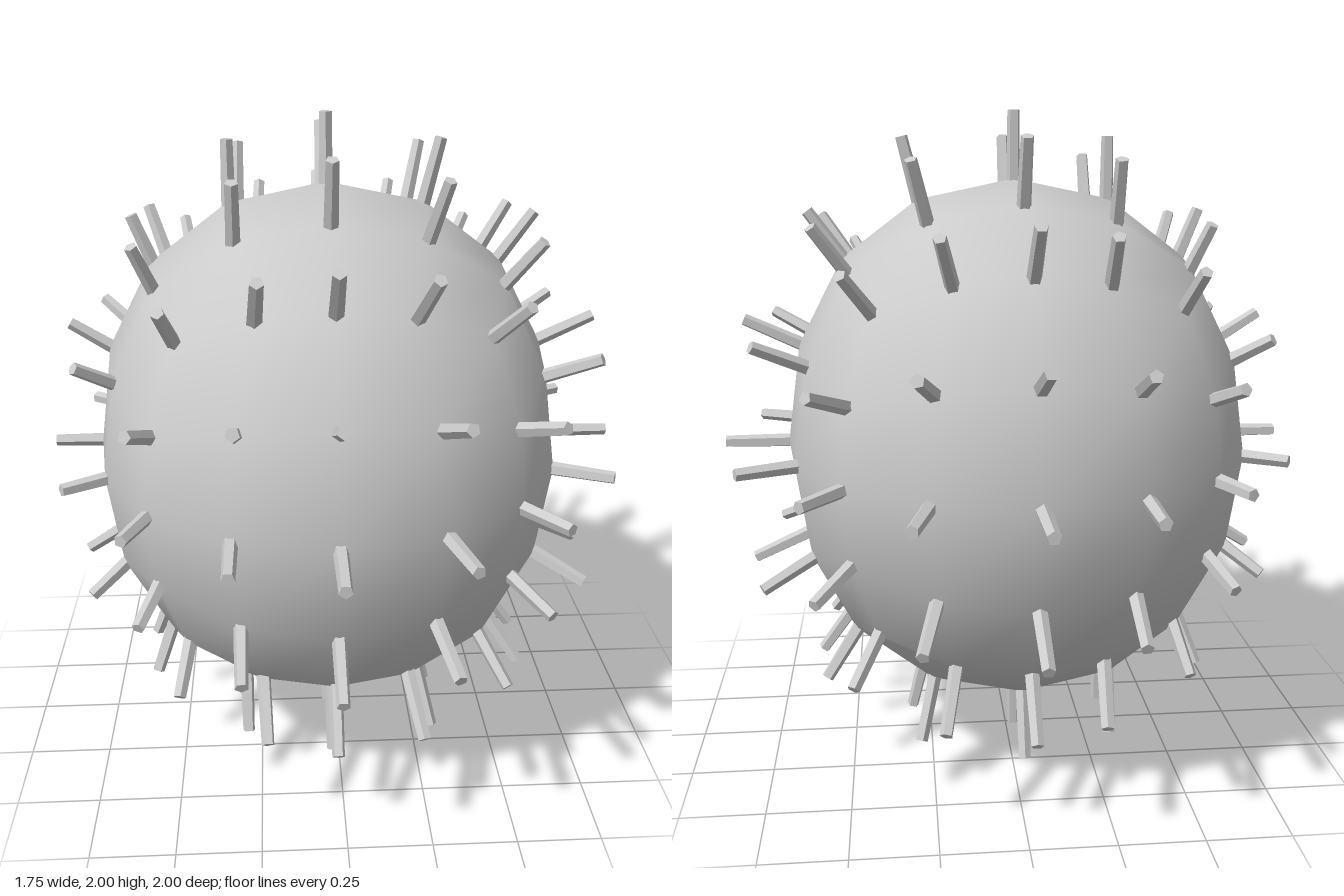
import * as THREE from 'three';
import { mergeVertices } from 'three/addons/utils/BufferGeometryUtils.js';

const CENTRE_Y = 1;
const CENTRE_X = -0.025;

// Cube grid point -> evenly spaced direction on the unit sphere
function toDirection(p) {
  const bend = (v) => Math.tan((v * Math.PI) / 4);
  return new THREE.Vector3(bend(p.x), bend(p.y), bend(p.z)).normalize();
}

// Body surface: a ball narrowed towards its sides
function surfacePoint(d) {
  const narrow = 0.97 - 0.09 * d.x * d.x;
  return new THREE.Vector3(0.8 * d.x * narrow + CENTRE_X, 0.8 * d.y + CENTRE_Y, 0.8 * d.z);
}

// Outer end of the spike that grows in direction d
function tipPoint(d) {
  const ax = Math.abs(d.x);
  const x = ax < 0.01 ? CENTRE_X : d.x * (0.773 + 0.1 * ax);
  return new THREE.Vector3(x, d.y + CENTRE_Y, d.z);
}

export function createModel() {
  const model = new THREE.Group();
  const bodyMaterial = new THREE.MeshStandardMaterial({ color: 0xcccccc });
  const spikeMaterial = new THREE.MeshStandardMaterial({ color: 0xcccccc, flatShading: true });

  // Rounded body from a welded 4 x 4 cube grid
  const box = new THREE.BoxGeometry(2, 2, 2, 4, 4, 4);
  box.deleteAttribute('normal');
  box.deleteAttribute('uv');
  const bodyGeometry = mergeVertices(box);
  const position = bodyGeometry.attributes.position;
  const directions = [];
  for (let i = 0; i < position.count; i++) {
    const d = toDirection(new THREE.Vector3().fromBufferAttribute(position, i));
    const s = surfacePoint(d);
    position.setXYZ(i, s.x, s.y, s.z);
    directions.push(d);
  }
  bodyGeometry.computeVertexNormals();
  const body = new THREE.Mesh(bodyGeometry, bodyMaterial);
  body.name = 'body';
  model.add(body);

  // One five-sided spike on every grid point of the body
  const spikes = new THREE.Group();
  spikes.name = 'spikes';
  const spikeGeometry = new THREE.CylinderGeometry(0.019, 0.022, 1, 5);
  const up = new THREE.Vector3(0, 1, 0);
  for (const d of directions) {
    const tip = tipPoint(d);
    const base = surfacePoint(d).addScaledVector(d, -0.02);
    const axis = tip.clone().sub(base);
    const spike = new THREE.Mesh(spikeGeometry, spikeMaterial);
    spike.name = 'spike';
    spike.scale.y = axis.length();
    spike.position.copy(base).add(tip).multiplyScalar(0.5);
    spike.quaternion.setFromUnitVectors(up, axis.normalize());
    spikes.add(spike);
  }
  model.add(spikes);
  return model;
}
